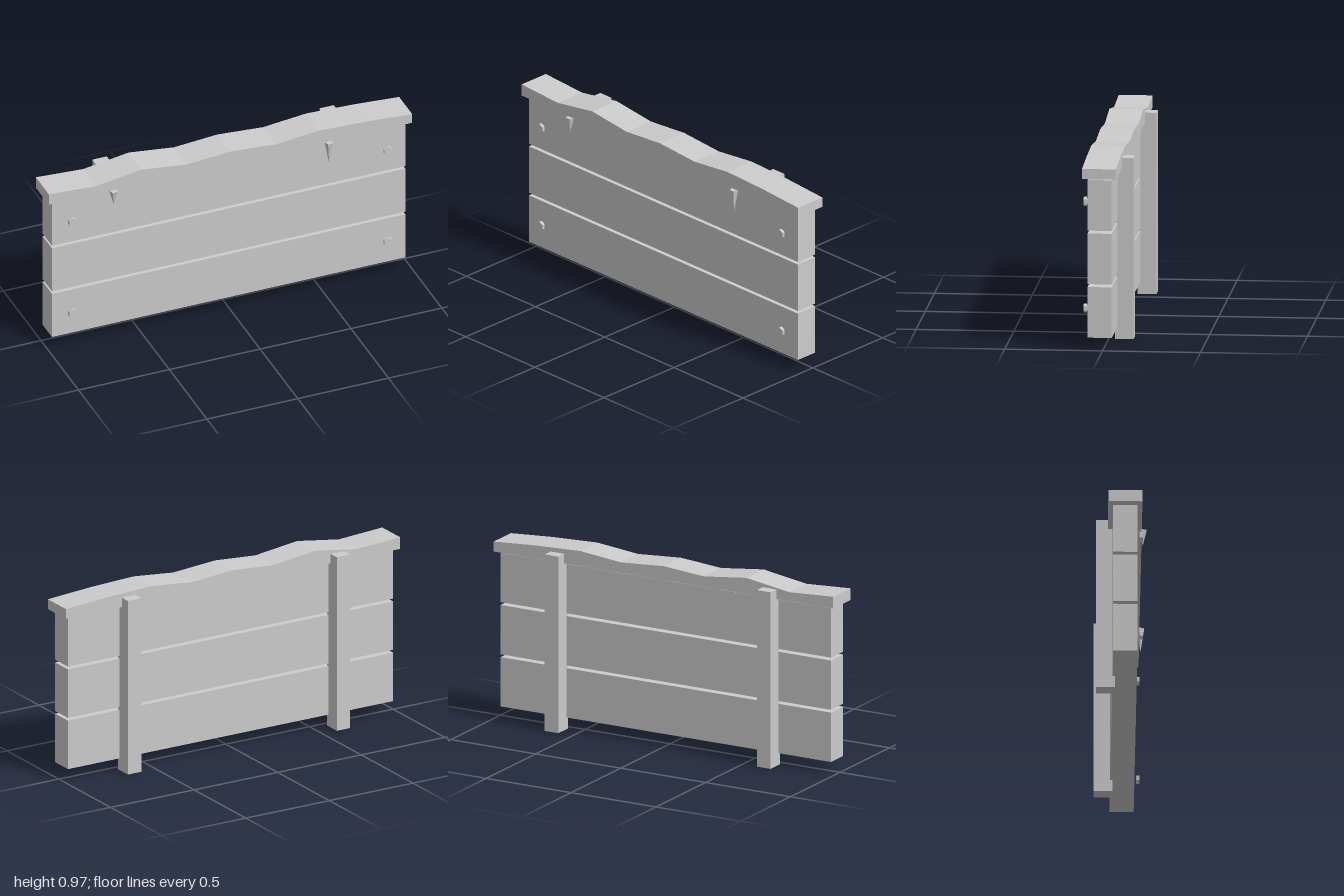
import * as THREE from 'three';

export function createModel() {
  const group = new THREE.Group();
  group.name = 'plankSign';
  const grey = new THREE.MeshStandardMaterial({ color: 0xcccccc, flatShading: true });
  grey.name = 'plain grey';

  const add = (name, geometry, x, y, z) => {
    const mesh = new THREE.Mesh(geometry, grey);
    mesh.name = name;
    mesh.position.set(x, y, z);
    group.add(mesh);
    return mesh;
  };

  // Three horizontal boards
  ['lowerPlank', 'middlePlank', 'upperPlank'].forEach((name, i) =>
    add(name, new THREE.BoxGeometry(1.945, 0.262, 0.124), 0, 0.193 + i * 0.277, 0.018));

  // Two posts behind the boards
  for (const [side, s] of [['left', 1], ['right', -1]]) {
    add(side + 'Post', new THREE.BoxGeometry(0.08, 0.938, 0.096), s * 0.625, 0.469, -0.079);

    // Hexagonal bolt heads, one above the other
    for (const [level, y] of [['Lower', 0.196], ['Upper', 0.748]]) {
      const bolt = add(side + level + 'Bolt',
        new THREE.CylinderGeometry(0.024, 0.024, 0.016, 6), s * 0.868, y, 0.1);
      bolt.rotation.x = Math.PI / 2;
    }
  }

  // Snow cap with a wavy top edge
  const crest = [[1, 0.94], [0.75, 0.957], [0.49, 0.967], [0.25, 0.943], [0, 0.961],
    [-0.24, 0.943], [-0.49, 0.973], [-0.74, 0.935], [-1, 0.95]];
  const outline = [[-1, 0.887], [1, 0.887], ...crest].map(([x, y]) => new THREE.Vector2(x, y));
  add('snowCap', new THREE.ExtrudeGeometry(new THREE.Shape(outline),
    { depth: 0.173, bevelEnabled: false }), 0, 0, -0.068);

  // Icicles hanging from the front edge of the cap
  for (const [name, x, length] of [['rightIcicle', -0.645, 0.085], ['leftIcicle', 0.541, 0.13]]) {
    const icicle = add(name, new THREE.ConeGeometry(0.0227, length, 5), x, 0.887 - length / 2, 0.11);
    icicle.rotation.x = Math.PI;
  }

  return group;
}
